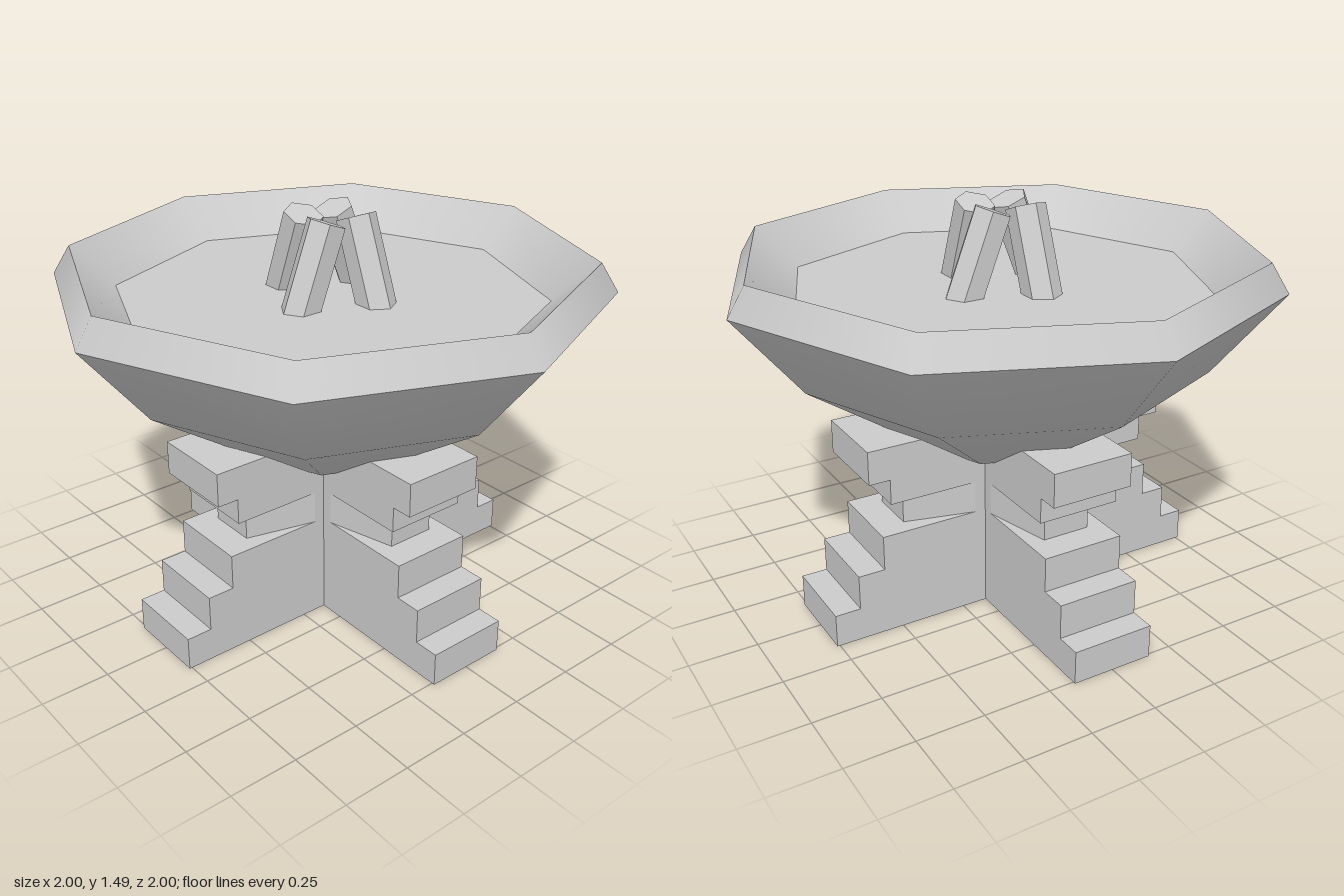
import * as THREE from 'three';

const W = 0.155; // half width of the pedestal arms

// Outline of the four-armed cross at height y: arm reach r, half width w at the tips
function crossRing(r, w, y) {
  const pts = [];
  const arm = [[0.195, -W], [r, -w], [r, w], [0.195, W], [W, W]];
  for (let k = 0; k < 4; k++) {
    const c = Math.round(Math.cos(k * Math.PI / 2)), s = Math.round(Math.sin(k * Math.PI / 2));
    for (const [u, v] of arm) pts.push([u * c - v * s, y, u * s + v * c]);
  }
  return pts;
}

// Flat-faced skin through a stack of rings
function loft(rings) {
  const pos = [];
  for (let j = 0; j < rings.length - 1; j++) {
    const a = rings[j], b = rings[j + 1], n = a.length;
    for (let i = 0; i < n; i++) {
      const k = (i + 1) % n;
      pos.push(...a[i], ...b[i], ...b[k], ...a[i], ...b[k], ...a[k]);
    }
  }
  const geo = new THREE.BufferGeometry();
  geo.setAttribute('position', new THREE.Float32BufferAttribute(pos, 3));
  geo.computeVertexNormals();
  return geo;
}

export function createModel() {
  const model = new THREE.Group();
  model.name = 'fireBowl';
  const smooth = new THREE.MeshStandardMaterial({ color: 0xcccccc });
  const flat = new THREE.MeshStandardMaterial({ color: 0xcccccc, flatShading: true });
  const shell = new THREE.MeshStandardMaterial({ color: 0xcccccc, flatShading: true, side: THREE.DoubleSide });

  // Stepped pedestal, open underneath: [reach, tip half width, bottom, top]
  const levels = [
    [0.76, W, 0, 0.125],
    [0.665, W, 0.125, 0.255],
    [0.565, W, 0.255, 0.385],
    [0.455, 0.09, 0.385, 0.505],
    [0.53, W, 0.505, 0.6],
    [0.61, W, 0.6, 0.725],
  ];
  const rings = [];
  for (const [r, w, y0, y1] of levels) rings.push(crossRing(r, w, y0), crossRing(r, w, y1));
  rings.push(crossRing(0.61, W, 0.725).map(() => [0, 0.725, 0])); // top cap
  const pedestal = new THREE.Mesh(loft(rings), shell);
  pedestal.name = 'pedestal';
  model.add(pedestal);

  // Eight-sided bowl; separate sections keep the rim edges sharp
  const bowl = new THREE.Group();
  bowl.name = 'bowl';
  const sections = {
    bowlBottom: [[0, 0.6], [0.285, 0.6]],
    bowlOutside: [[0.285, 0.6], [0.755, 0.915], [1, 1.22]],
    bowlRim: [[1, 1.22], [0.935, 1.325]],
    bowlInside: [[0.935, 1.325], [0.775, 1.18]],
    bowlFloor: [[0.775, 1.18], [0, 1.18]],
  };
  for (const [name, profile] of Object.entries(sections)) {
    const geo = new THREE.LatheGeometry(profile.map(([x, y]) => new THREE.Vector2(x, y)), 8);
    const mesh = new THREE.Mesh(geo, smooth);
    mesh.name = name;
    bowl.add(mesh);
  }
  model.add(bowl);

  // Four hexagonal logs leaning together in a pinwheel
  const logGeo = new THREE.CylinderGeometry(0.071, 0.071, 0.4, 6);
  logGeo.translate(0, -0.2, 0).rotateX(-0.37).translate(0.0625, 1.465, 0.066);
  const logs = new THREE.Group();
  logs.name = 'logs';
  for (let k = 0; k < 4; k++) {
    const log = new THREE.Mesh(logGeo, flat);
    log.name = 'log' + (k + 1);
    log.rotation.y = k * Math.PI / 2;
    logs.add(log);
  }
  model.add(logs);
  return model;
}
